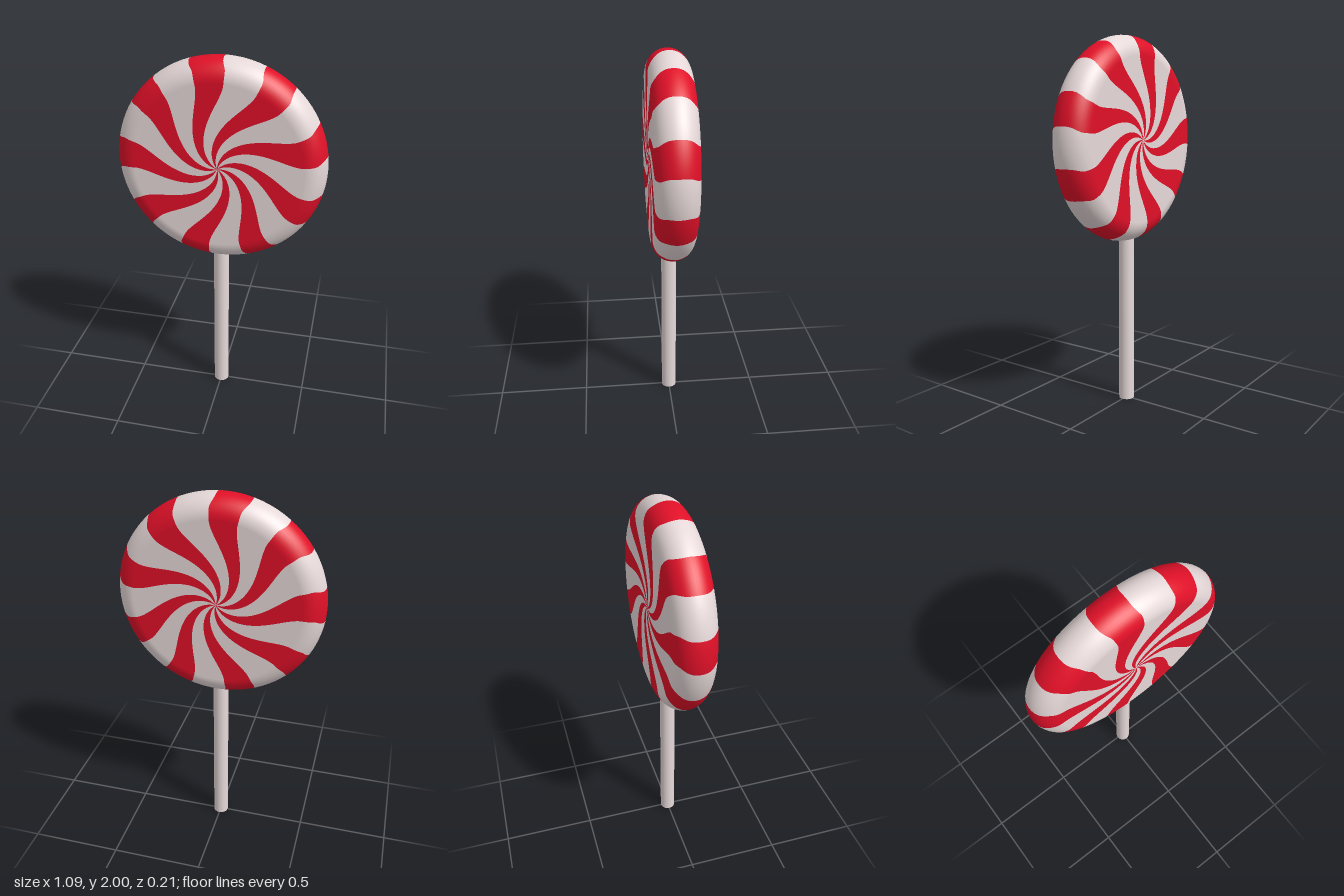
import * as THREE from 'three';

const R = 0.545, HALF = 0.107, CY = 1.455, STRIPES = 9;
const rad = THREE.MathUtils.degToRad;

// Half cross-section of the candy, front centre -> rim -> back centre
function discProfile() {
  const pts = [], flat = R - HALF, rings = 28, arc = 20;
  for (let i = 0; i < rings; i++) pts.push({ r: flat * i / rings, z: HALF, nr: 0, nz: 1 });
  for (let i = 0; i <= arc; i++) {
    const a = Math.PI * i / arc, s = Math.sin(a), c = Math.cos(a);
    pts.push({ r: flat + HALF * s, z: HALF * c, nr: s, nz: c });
  }
  for (let i = rings - 1; i >= 0; i--) pts.push({ r: flat * i / rings, z: -HALF, nr: 0, nz: -1 });
  return pts;
}

// Swirl angle in degrees: strong near the centre, straight towards the rim
function twist(r) {
  const t = r / R;
  return 64 * Math.pow(Math.max(0, 1 - t / 0.8), 1.7) + 2.5 * THREE.MathUtils.smoothstep(t, 0.9, 1);
}

// All stripes of one colour; each spans the given angles, repeated round the disc
function stripesGeometry(from, to) {
  const profile = discProfile(), steps = 5, pos = [], nor = [], idx = [];
  for (let k = 0; k < STRIPES; k++) {
    const base = pos.length / 3;
    profile.forEach((p, i) => {
      for (let j = 0; j <= steps; j++) {
        const a = rad(from + (to - from) * j / steps + k * 360 / STRIPES + twist(p.r));
        const c = Math.cos(a), s = Math.sin(a);
        pos.push(p.r * c, p.r * s, p.z);
        nor.push(p.nr * c, p.nr * s, p.nz);
        if (i < profile.length - 1 && j < steps) {
          const v = base + i * (steps + 1) + j, w = v + steps + 1;
          idx.push(v, w, w + 1, v, w + 1, v + 1);
        }
      }
    });
  }
  const g = new THREE.BufferGeometry();
  g.setAttribute('position', new THREE.Float32BufferAttribute(pos, 3));
  g.setAttribute('normal', new THREE.Float32BufferAttribute(nor, 3));
  g.setIndex(idx);
  return g;
}

export function createModel() {
  const white = new THREE.MeshStandardMaterial({ color: 0xe6d8d8 });
  white.name = 'sugar white';
  const red = new THREE.MeshStandardMaterial({ color: 0xe01028 });
  red.name = 'candy red';

  const model = new THREE.Group();
  model.name = 'lollipop';

  // Candy disc with swirled stripes
  const candy = new THREE.Group();
  candy.name = 'candy';
  candy.position.y = CY;
  const mid = 15, half = 9.2;
  const redStripes = new THREE.Mesh(stripesGeometry(mid - half, mid + half), red);
  redStripes.name = 'redStripes';
  const whiteStripes = new THREE.Mesh(stripesGeometry(mid + half, mid - half + 360 / STRIPES), white);
  whiteStripes.name = 'whiteStripes';
  candy.add(redStripes, whiteStripes);

  // Stick, reaching a little way into the candy
  const length = 0.96;
  const stick = new THREE.Mesh(new THREE.CylinderGeometry(0.042, 0.042, length, 32), white);
  stick.name = 'stick';
  stick.position.y = length / 2;

  model.add(candy, stick);
  return model;
}
